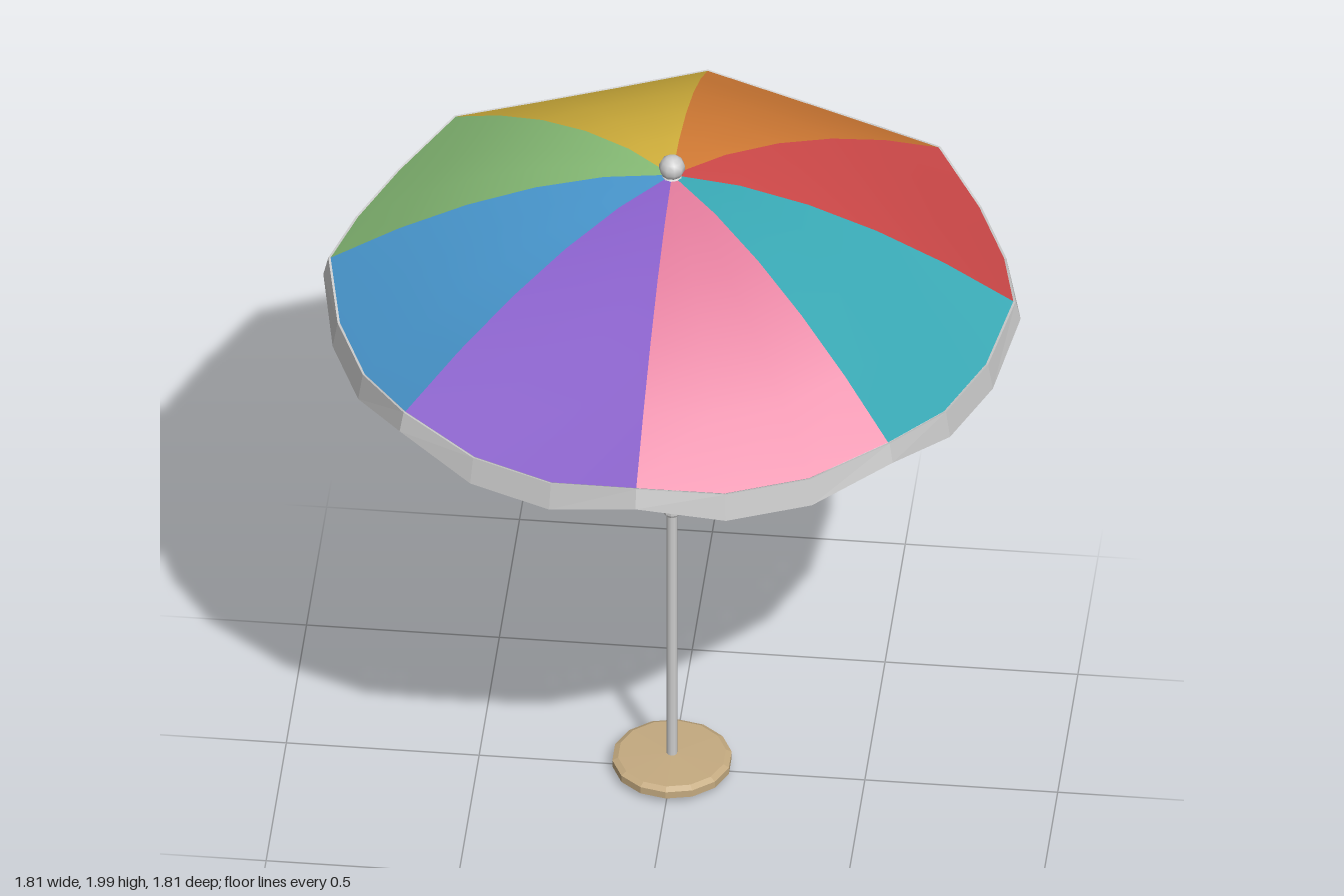
import * as THREE from 'three';

const PANELS = 8, SPLIT = 3, RINGS = 5, STEP = Math.PI * 2 / PANELS;

const paint = (name, color) => {
  const m = new THREE.MeshStandardMaterial({ color, side: THREE.DoubleSide });
  m.name = name;
  return m;
};

// Canopy surface: t runs from apex to rim, s across one panel, dipping between the ribs
function canopyPoint(t, panel, s) {
  const dip = Math.min(1, Math.min(s, 1 - s) * SPLIT);
  const r = t * (0.885 - 0.018 * dip * t);
  const y = 1.94 - 0.34 * Math.pow(t, 1.75) - 0.036 * dip * t * t;
  const a = (panel + s) * STEP;
  return new THREE.Vector3(r * Math.sin(a), y, r * Math.cos(a));
}

// Skin a rectangular grid of points
function skin(rows, closeRow = false) {
  const n = rows[0].length, index = [];
  for (let i = 0; i < rows.length - 1; i++) {
    for (let j = 0; j < n - (closeRow ? 0 : 1); j++) {
      const k = (j + 1) % n, a = i * n, b = a + n;
      index.push(a + j, b + j, a + k, b + j, b + k, a + k);
    }
  }
  const g = new THREE.BufferGeometry().setFromPoints(rows.flat());
  g.setIndex(index);
  g.computeVertexNormals();
  return g;
}

export function createModel() {
  const model = new THREE.Group();
  model.name = 'parasol';
  const metal = paint('light grey', 0xcccccc);
  const stone = paint('tan', 0xc4aa80);
  const fabrics = [
    paint('pink', 0xe07a9a), paint('teal', 0x38a8b4), paint('red', 0xd24a4a), paint('orange', 0xde8238),
    paint('yellow', 0xe0bc40), paint('green', 0x8ec67c), paint('blue', 0x4a9ad2), paint('purple', 0x8a60cc),
  ];
  const add = (name, geometry, material, y = 0) => {
    const mesh = new THREE.Mesh(geometry, material);
    mesh.name = name;
    mesh.position.y = y;
    model.add(mesh);
    return mesh;
  };
  const lathe = (pts, sides) =>
    new THREE.LatheGeometry(pts.map(p => new THREE.Vector2(...p)), sides).toNonIndexed();
  const flat = g => { g.computeVertexNormals(); return g; };

  // Base, telescoping pole and collar
  add('base', flat(lathe([[0, 0.01], [0.13, 0.01], [0.155, 0.028], [0.155, 0.048], [0.14, 0.056], [0, 0.06]], 14)), stone);
  add('lowerPole', new THREE.CylinderGeometry(0.014, 0.014, 0.81, 10), metal, 0.455);
  add('upperPole', new THREE.CylinderGeometry(0.011, 0.011, 1.08, 10), metal, 1.4);
  add('collar', flat(lathe([[0, 0.837], [0.019, 0.837], [0.023, 0.845], [0.023, 0.9], [0.019, 0.909], [0, 0.909]], 10)), metal);

  // Hub under the canopy, cap and finial above it
  add('hub', new THREE.CylinderGeometry(0.028, 0.028, 0.075, 10), metal, 1.89);
  add('cap', new THREE.CylinderGeometry(0.02, 0.032, 0.014, 10), metal, 1.938);
  add('finial', new THREE.SphereGeometry(0.034, 10, 7), metal, 1.966);

  // Coloured panels with a thin rib under each seam
  for (let p = 0; p < PANELS; p++) {
    const rows = [], spine = [];
    for (let i = 0; i <= RINGS; i++) {
      const t = Math.max(0.012, i / RINGS);
      rows.push(Array.from({ length: SPLIT + 1 }, (_, j) => canopyPoint(t, p, j / SPLIT)));
      const q = canopyPoint(Math.min(0.985, Math.max(0.03, t)), p, 0);
      q.y -= 0.009;
      spine.push(q);
    }
    add('panel' + (p + 1), skin(rows), fabrics[p]);
    const curve = new THREE.CurvePath();
    for (let i = 0; i < RINGS; i++) curve.add(new THREE.LineCurve3(spine[i], spine[i + 1]));
    add('rib' + (p + 1), new THREE.TubeGeometry(curve, 15, 0.005, 5), metal);
  }

  // Scalloped valance hanging from the rim, a closed thin section swept round
  const section = dip => [[-0.001, -0.002], [0.006, 0], [0.019, -0.055 - 0.02 * dip], [0.012, -0.055 - 0.02 * dip], [-0.001, -0.002]];
  const loops = [0, 1, 2, 3, 4].map(k => {
    const loop = [];
    for (let p = 0; p < PANELS; p++) {
      for (let j = 0; j < SPLIT; j++) {
        const v = canopyPoint(1, p, j / SPLIT), [dr, dy] = section(j ? 1 : 0)[k];
        const scale = 1 + dr / Math.hypot(v.x, v.z);
        loop.push(new THREE.Vector3(v.x * scale, v.y + dy, v.z * scale));
      }
    }
    return loop;
  });
  add('valance', flat(skin(loops, true).toNonIndexed()), metal);
  return model;
}
